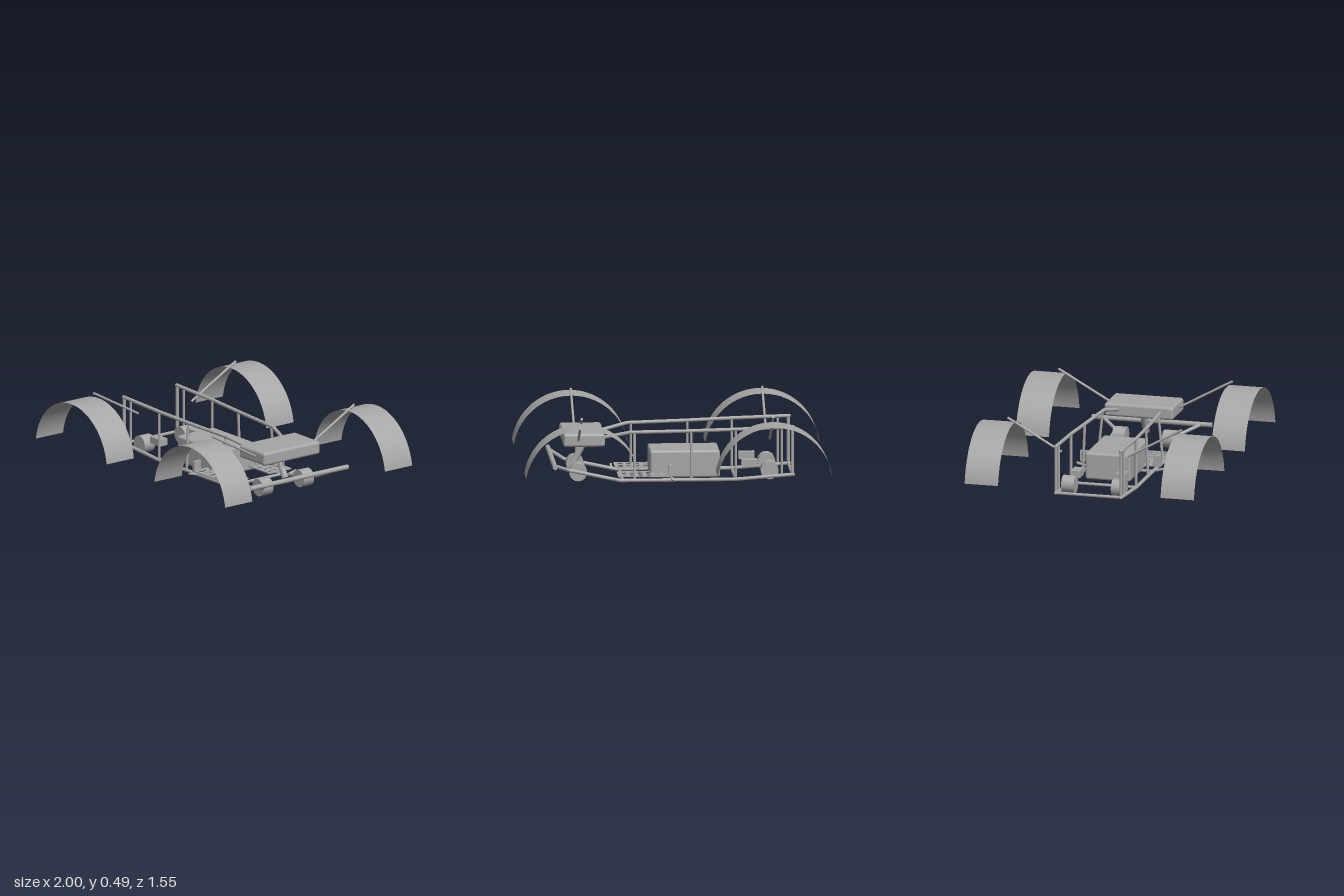
import * as THREE from 'three';
import { RoundedBoxGeometry } from 'three/addons/geometries/RoundedBoxGeometry.js';

const grey = new THREE.MeshStandardMaterial({ color: 0xa6a6a6, side: THREE.DoubleSide });
grey.name = 'plain grey';

export function createModel() {
  const model = new THREE.Group();
  model.name = 'buggyChassis';

  const add = (name, geometry, x = 0, y = 0, z = 0) => {
    const mesh = new THREE.Mesh(geometry, grey);
    mesh.name = name;
    mesh.position.set(x, y, z);
    model.add(mesh);
    return mesh;
  };

  // straight round bar between two points
  const bar = (name, a, b, r) => {
    const p = new THREE.Vector3(...a), q = new THREE.Vector3(...b);
    const d = q.clone().sub(p);
    const mesh = add(name, new THREE.CylinderGeometry(r, r, d.length(), 16));
    mesh.position.copy(p).add(q).multiplyScalar(0.5);
    mesh.quaternion.setFromUnitVectors(new THREE.Vector3(0, 1, 0), d.normalize());
  };

  // bent rail: bars with round joints
  const rail = (name, pts, r) => pts.forEach((p, i) => {
    if (i) bar(name, pts[i - 1], p, r);
    if (i < pts.length - 1) add(name + 'Joint', new THREE.SphereGeometry(r, 16, 10), ...p);
  });

  // slatted footrest plate with two rows of slots
  const grate = new THREE.Shape();
  const rect = (path, x0, y0, x1, y1) =>
    path.moveTo(x0, y0).lineTo(x1, y0).lineTo(x1, y1).lineTo(x0, y1).closePath();
  rect(grate, 0.015, 0.085, 0.365, 0.27);
  for (let i = 0; i < 6; i++) {
    const x = 0.04 + i * 0.054;
    for (const [z0, z1] of [[0.105, 0.175], [0.195, 0.252]]) {
      const hole = new THREE.Path();
      rect(hole, x, z0, x + 0.03, z1);
      grate.holes.push(hole);
    }
  }
  const grateGeo = new THREE.ExtrudeGeometry(grate, { depth: 0.008, bevelEnabled: false });
  grateGeo.rotateX(Math.PI / 2);

  // thin arched wheel guard, open underneath
  const start = 0.146;
  const fenderGeo = new THREE.CylinderGeometry(0.377, 0.377, 0.226, 64, 1, true,
    start - Math.PI / 2, Math.PI - 2 * start);
  fenderGeo.rotateX(Math.PI / 2).rotateZ(Math.PI);
  fenderGeo.computeBoundingBox();
  if (fenderGeo.boundingBox.max.y < 0.3) fenderGeo.rotateZ(Math.PI);

  const motorGeo = new THREE.CylinderGeometry(0.058, 0.058, 0.085, 40).rotateX(Math.PI / 2);

  for (const s of [1, -1]) {
    const side = s > 0 ? 'Left' : 'Right';

    // side frame
    rail('upperRail' + side, [[-0.78, 0.355, s * 0.22], [-0.4, 0.343, s * 0.22],
      [-0.1, 0.333, s * 0.207], [0.28, 0.325, s * 0.187], [0.45, 0.287, s * 0.145],
      [0.56, 0.262, s * 0.11]], 0.012);
    rail('lowerRail' + side, [[-0.78, 0.042, s * 0.22], [-0.4, 0.013, s * 0.22],
      [0.35, 0.013, s * 0.22], [0.69, 0.085, s * 0.22], [0.785, 0.132, s * 0.33]], 0.012);
    bar('rearPost' + side, [-0.775, 0.04, s * 0.22], [-0.775, 0.355, s * 0.22], 0.011);
    bar('innerRearPost' + side, [-0.705, 0.037, s * 0.22], [-0.705, 0.338, s * 0.22], 0.008);
    for (const [x, y, z] of [[-0.405, 0.343, 0.22], [-0.115, 0.333, 0.207], [0.255, 0.325, 0.188]])
      bar('sidePost' + side, [x, 0.013, s * 0.22], [x, y, s * z], 0.009);

    // wheel guards, their stays and the hub motors
    for (const x of [-0.627, 0.623]) {
      const sgn = x < 0 ? 'rear' : 'front';
      add(sgn + 'Fender' + side, fenderGeo, x, 0.068, s * 0.662);
      bar(sgn + 'FenderStay' + side, [x, 0.28, s * 0.222], [x, 0.485, s * 0.588], 0.008);
      add(sgn + 'Motor' + side, motorGeo, x, 0.067, s * 0.168);
    }
    add('controller' + side, new THREE.BoxGeometry(0.104, 0.045, 0.064), -0.497, 0.112, s * 0.152);

    // footrest, heel plate and supports
    const plate = add('footrest' + side, grateGeo, 0, 0.051, 0);
    plate.scale.z = s;
    add('heelPlate' + side, new THREE.BoxGeometry(0.018, 0.07, 0.055), 0.025, 0.082, s * 0.247);
    for (const x of [0.01, 0.38])
      bar('footrestPeg' + side, [x, 0.014, s * 0.215], [x, 0.034, s * 0.295], 0.009);
  }

  // floor crossmembers
  for (const [x, y] of [[-0.775, 0.042], [-0.405, 0.014], [0.01, 0.013], [0.332, 0.013]])
    bar('crossmember', [x, y, -0.22], [x, y, 0.22], 0.01);

  // bumper
  bar('bumper', [0.785, 0.133, -0.405], [0.785, 0.133, 0.405], 0.016);

  // battery box and front box
  add('batteryBox', new RoundedBoxGeometry(0.456, 0.18, 0.305, 4, 0.016), -0.078, 0.105, 0);
  add('frontBox', new RoundedBoxGeometry(0.272, 0.088, 0.466, 4, 0.018), 0.585, 0.281, 0);

  // steering column and link under the front box
  bar('steeringColumn', [0.565, 0.25, 0], [0.642, 0.1, 0], 0.022);
  bar('steeringLink', [0.623, 0.25, 0], [0.623, 0.1, 0], 0.009);

  return model;
}
